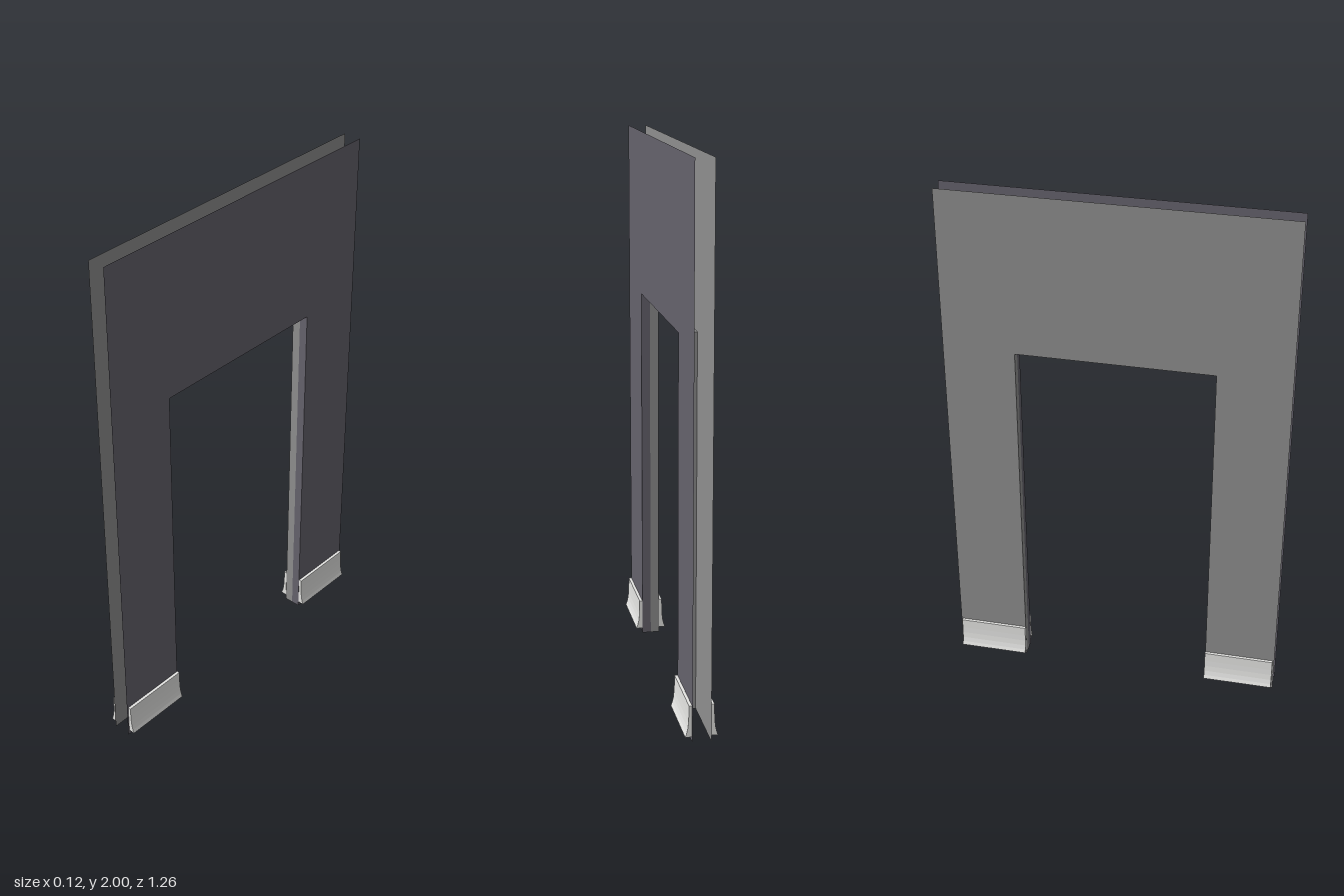
import * as THREE from 'three';

const HALF = 0.033;              // half the wall thickness
const END = 0.63;                // wall ends in z
const OPEN = [-0.365, 0.36];     // opening in z
const HEAD = 1.388;              // opening height
const SKIRT_END = 0.624;

export function createModel() {
  const purple = new THREE.MeshStandardMaterial({ color: 0x66636d, side: THREE.DoubleSide });
  purple.name = 'purple grey paint';
  const grey = new THREE.MeshStandardMaterial({ color: 0x8f8f8f, side: THREE.DoubleSide });
  grey.name = 'neutral grey paint';
  const white = new THREE.MeshStandardMaterial({ color: 0xe6e6e4, side: THREE.DoubleSide });
  white.name = 'white trim';

  const model = new THREE.Group();
  model.name = 'doorwayWall';
  const add = (parent, name, geometry, material) => {
    const mesh = new THREE.Mesh(geometry, material);
    mesh.name = name;
    parent.add(mesh);
    return mesh;
  };

  for (const side of [1, -1]) {
    const label = side > 0 ? 'left' : 'right';
    const paint = side > 0 ? purple : grey;
    const half = new THREE.Group();
    half.name = label + 'WallHalf';
    model.add(half);

    // Thin wall sheet with the doorway cut out
    const outline = [
      [-END, 0], [-END, 2], [END, 2], [END, 0],
      [OPEN[1], 0], [OPEN[1], HEAD], [OPEN[0], HEAD], [OPEN[0], 0],
    ].map(([z, y]) => new THREE.Vector2(-side * z, y));
    const sheet = new THREE.ShapeGeometry(new THREE.Shape(outline));
    sheet.rotateY(side * Math.PI / 2);
    add(half, label + 'WallSheet', sheet, paint).position.x = side * HALF;

    // Reveal lining: each half reaches the middle of the wall
    OPEN.forEach((z, i) => {
      const jamb = new THREE.PlaneGeometry(HALF, HEAD);
      if (i === 1) jamb.rotateY(Math.PI);
      add(half, label + (i ? 'FrontJamb' : 'BackJamb'), jamb, paint)
        .position.set(side * HALF / 2, HEAD / 2, z);
    });
    const head = new THREE.PlaneGeometry(HALF, OPEN[1] - OPEN[0]);
    head.rotateX(Math.PI / 2);
    add(half, label + 'HeadLining', head, paint)
      .position.set(side * HALF / 2, HEAD, (OPEN[0] + OPEN[1]) / 2);

    // Skirting boards with a flared foot, held just off the sheet
    const profile = [
      [HALF + 0.001, 0.02], [HALF + 0.001, 0.137], [0.045, 0.137], [0.0455, 0.1],
      [0.0465, 0.075], [0.049, 0.052], [0.053, 0.034], [0.058, 0.02],
    ].map(([x, y]) => new THREE.Vector2(side * x, y));
    for (const [name, z0, z1] of [
      ['FrontSkirting', OPEN[1], SKIRT_END],
      ['BackSkirting', -SKIRT_END, OPEN[0]],
    ]) {
      const board = new THREE.ExtrudeGeometry(new THREE.Shape(profile), {
        depth: z1 - z0, bevelEnabled: false,
      });
      add(half, label + name, board, white).position.z = z0;
    }
  }
  return model;
}
